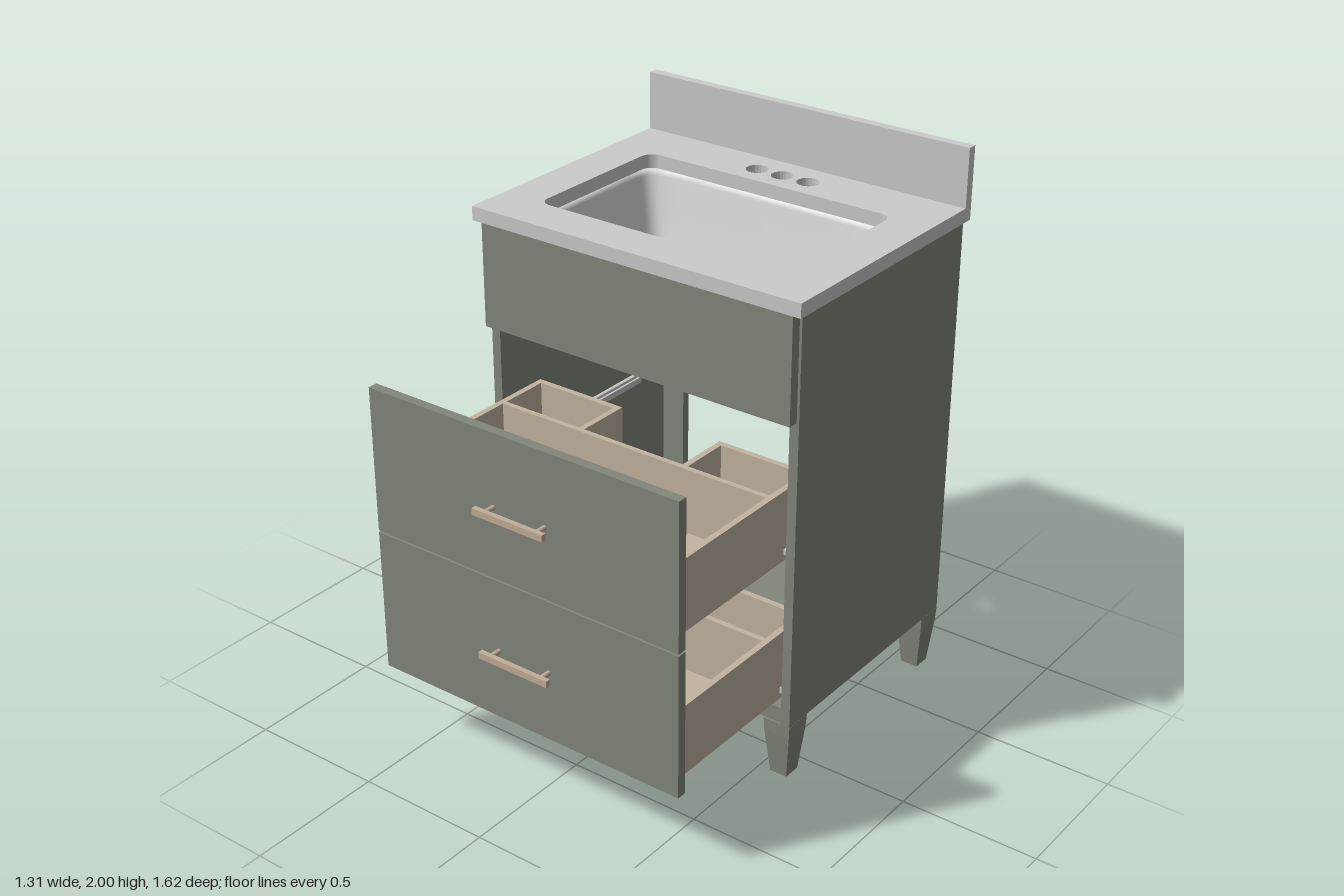
import * as THREE from 'three';

const mat = (name, color, extra = {}) => {
  const m = new THREE.MeshStandardMaterial({ color, ...extra });
  m.name = name;
  return m;
};

export function createModel() {
  const green = mat('sage paint', 0x83877a);
  const greenFlat = mat('sage paint faceted', 0x83877a, { flatShading: true });
  const wood = mat('drawer wood', 0xc2b4a1);
  const stone = mat('counter stone', 0xcbcbcb);
  const ceramic = mat('basin ceramic', 0xd8d8d8, { side: THREE.DoubleSide });
  const metal = mat('slide metal', 0xc4c4c4);
  const bronze = mat('handle metal', 0xc3ad98);

  const model = new THREE.Group();
  model.name = 'vanityCabinet';
  const group = (name, parent = model) => {
    const g = new THREE.Group();
    g.name = name;
    parent.add(g);
    return g;
  };
  const add = (parent, name, geometry, material) => {
    const m = new THREE.Mesh(geometry, material);
    m.name = name;
    parent.add(m);
    return m;
  };
  // Box given by its minimum and maximum on each axis
  const box = (parent, name, material, x0, x1, y0, y1, z0, z1) => {
    const m = add(parent, name, new THREE.BoxGeometry(x1 - x0, y1 - y0, z1 - z0), material);
    m.position.set((x0 + x1) / 2, (y0 + y1) / 2, (z0 + z1) / 2);
    return m;
  };

  // Cabinet carcass with an open-framed back
  const carcass = group('carcass');
  for (const s of [-1, 1]) {
    const side = (name, m, a, b, ...r) => box(carcass, name, m, Math.min(s * a, s * b), Math.max(s * a, s * b), ...r);
    side('sidePanel', green, 0.595, 0.63, 0.22, 1.74, -0.81, 0.143);
    side('backStile', green, 0.5, 0.595, 0.22, 1.74, -0.808, -0.775);
    // Drawer slides low on each side panel
    for (const y of [0.335, 0.87]) {
      side('slideRail', metal, 0.58, 0.595, y - 0.02, y + 0.02, -0.62, 0.12);
      side('slideRunner', metal, 0.571, 0.58, y - 0.01, y + 0.01, -0.6, 0.12);
    }
  }
  box(carcass, 'backTopRail', green, -0.5, 0.5, 1.54, 1.74, -0.808, -0.775);
  box(carcass, 'backBottomRail', green, -0.5, 0.5, 0.22, 0.45, -0.808, -0.775);
  box(carcass, 'floorPanel', green, -0.595, 0.595, 0.222, 0.28, -0.775, 0.138);
  box(carcass, 'topStretcher', green, -0.595, 0.595, 1.705, 1.74, 0.002, 0.138);
  box(carcass, 'middleStretcher', green, -0.595, 0.595, 1.36, 1.39, 0.04, 0.138);
  box(carcass, 'falseFront', green, -0.622, 0.622, 1.362, 1.738, 0.145, 0.183);

  // Tapered square legs
  const legProfile = [[0, 0], [0.033, 0], [0.043, 0.1], [0.05, 0.17], [0.0525, 0.22], [0, 0.22]]
    .map(([r, y]) => new THREE.Vector2(r * Math.SQRT2, y));
  const legGeometry = new THREE.LatheGeometry(legProfile, 4, Math.PI / 4);
  for (const x of [-0.578, 0.578]) {
    for (const z of [-0.757, 0.09]) add(model, 'leg', legGeometry, greenFlat).position.set(x, 0, z);
  }

  // Pulled-out drawers; the upper one is notched behind for the plumbing
  const makeDrawer = (name, y, notched) => {
    const d = group(name);
    const t = 0.022, w = 0.57, y0 = y + 0.01, y1 = y + 0.27, back = -0.03, front = 0.715, n = 0.205;
    box(d, 'drawerFront', green, -0.622, 0.622, y, y + 0.528, front, 0.75);
    box(d, 'innerFront', wood, -w + t, w - t, y0, y1, front - t, front);
    box(d, 'divider', wood, -w + t, w - t, y0, y1, 0.175, 0.195);
    box(d, 'bottomFront', wood, -w + t, w - t, y0 + 0.01, y0 + 0.025, 0.195, front - t);
    for (const s of [-1, 1]) {
      const part = (label, a, b, ...r) => box(d, label, wood, Math.min(s * a, s * b), Math.max(s * a, s * b), ...r);
      part('drawerSide', w - t, w, y0, y1, back, front);
      const inner = notched ? n : 0;
      part('drawerBack', inner, w - t, y0, y1, back, back + t);
      part('bottomBack', inner, w - t, y0 + 0.01, y0 + 0.025, back + t, 0.175);
      if (notched) part('notchSide', n, n + t, y0, y1, back + t, 0.175);
      // Handle posts
      const post = add(d, 'handlePost', new THREE.CylinderGeometry(0.009, 0.009, 0.045, 16), bronze);
      post.rotation.x = Math.PI / 2;
      post.position.set(s * 0.105, y + 0.262, 0.772);
    }
    box(d, 'handleBar', bronze, -0.143, 0.143, y + 0.25, y + 0.274, 0.792, 0.81);
  };
  makeDrawer('lowerDrawer', 0.29, false);
  makeDrawer('upperDrawer', 0.825, true);

  // Countertop with basin opening and three faucet holes (shape y maps to -z)
  const top = new THREE.Shape();
  top.moveTo(-0.655, -0.19).lineTo(0.655, -0.19).lineTo(0.655, 0.81).lineTo(-0.655, 0.81).closePath();
  const hole = new THREE.Path();
  const r = 0.045, hx = 0.5, lo = -0.03, hi = 0.57;
  hole.moveTo(-hx + r, lo);
  hole.absarc(hx - r, lo + r, r, -Math.PI / 2, 0);
  hole.absarc(hx - r, hi - r, r, 0, Math.PI / 2);
  hole.absarc(-hx + r, hi - r, r, Math.PI / 2, Math.PI);
  hole.absarc(-hx + r, lo + r, r, Math.PI, Math.PI * 1.5);
  top.holes.push(hole);
  for (const x of [-0.105, 0, 0.105]) top.holes.push(new THREE.Path().absarc(x, 0.665, 0.04, 0, Math.PI * 2));
  const slab = new THREE.ExtrudeGeometry(top, { depth: 0.05, bevelEnabled: false, curveSegments: 12 });
  slab.rotateX(-Math.PI / 2);
  add(model, 'countertop', slab, stone).position.y = 1.74;
  box(model, 'backsplash', stone, -0.655, 0.655, 1.79, 2, -0.81, -0.775);

  // Basin lofted from rounded rectangles: [y, half x, half z, centre z, corner power]
  const rings = [
    [1.738, 0.53, 0.3, -0.285, 0.2], [1.738, 0.5, 0.285, -0.285, 0.2],
    [1.72, 0.495, 0.281, -0.285, 0.2], [1.6, 0.465, 0.262, -0.283, 0.2],
    [1.47, 0.432, 0.24, -0.28, 0.22], [1.425, 0.415, 0.228, -0.278, 0.24],
    [1.4, 0.385, 0.205, -0.276, 0.27], [1.388, 0.34, 0.175, -0.275, 0.32],
    [1.375, 0.2, 0.11, -0.272, 0.6], [1.366, 0.06, 0.06, -0.27, 1],
    [1.36, 0.05, 0.05, -0.27, 1], [1.33, 0.05, 0.05, -0.27, 1],
  ];
  const N = 80, pos = [], idx = [];
  const power = (v, e) => Math.sign(v) * Math.pow(Math.abs(v), e);
  rings.forEach(([y, a, b, cz, e], j) => {
    for (let i = 0; i < N; i++) {
      const t = (i / N) * Math.PI * 2;
      pos.push(a * power(Math.cos(t), e), y, cz + b * power(Math.sin(t), e));
      if (j < rings.length - 1) {
        const p = j * N + i, q = j * N + ((i + 1) % N);
        idx.push(p, p + N, q, q, p + N, q + N);
      }
    }
  });
  const basin = new THREE.BufferGeometry();
  basin.setAttribute('position', new THREE.Float32BufferAttribute(pos, 3));
  basin.setIndex(idx);
  basin.computeVertexNormals();
  add(model, 'basin', basin, ceramic);

  return model;
}
